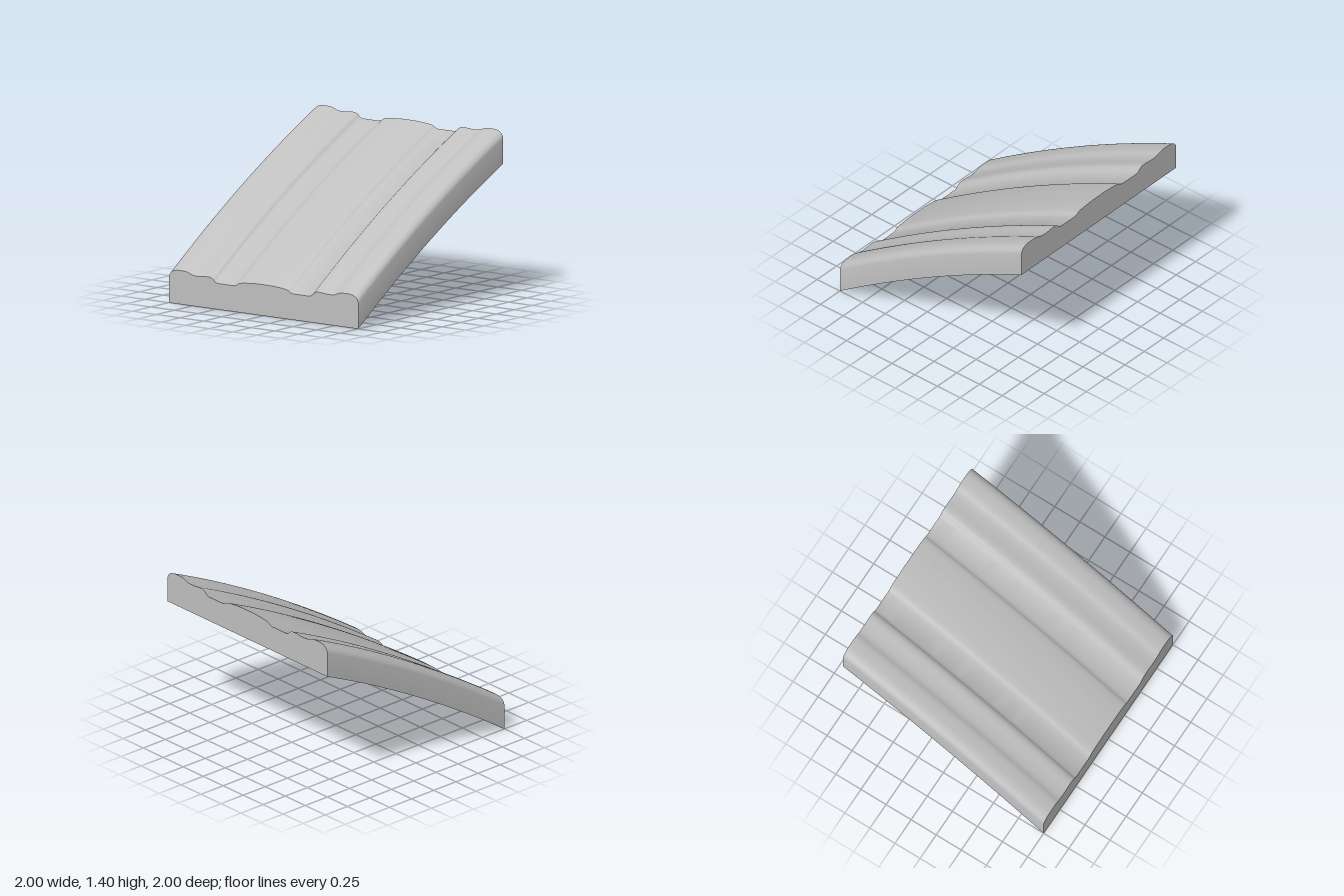
import * as THREE from 'three';
import { toCreasedNormals } from 'three/addons/utils/BufferGeometryUtils.js';

// Half of the moulded top profile: [distance from centre, height], edge to groove, then groove to centre
const OUTER = [[1, 0.22], [0.992, 0.243], [0.97, 0.267], [0.94, 0.281], [0.9, 0.287], [0.83, 0.286],
  [0.79, 0.278], [0.76, 0.266], [0.72, 0.259], [0.66, 0.26], [0.6, 0.266], [0.56, 0.264],
  [0.53, 0.25], [0.515, 0.235], [0.49, 0.221]];
const INNER = [[0.31, 0.221], [0.285, 0.229], [0.26, 0.244], [0.22, 0.253], [0.16, 0.259], [0.09, 0.264], [0, 0.265]];

const smooth = (pts, n) => new THREE.SplineCurve(pts.map(([u, h]) => new THREE.Vector2(u, h))).getPoints(n);

// Underside height along the rising, gently arched run
const rise = (x) => 0.615 + 0.5575 * x - 0.0575 * x * x;

export function createModel() {
  const group = new THREE.Group();
  group.name = 'curvedMoulding';
  const grey = new THREE.MeshStandardMaterial({ color: 0xbfbfbf });
  grey.name = 'plain grey';

  // Mirrored cross-section with a flat base
  const half = [...smooth(OUTER, 56), ...smooth(INNER, 30)];
  const other = half.slice(0, -1).reverse().map((p) => new THREE.Vector2(-p.x, p.y));
  const shape = new THREE.Shape([
    new THREE.Vector2(-1, 0), new THREE.Vector2(1, 0), ...half, ...other,
  ]);

  // Extrude along x, then lift each section to follow the arch
  const geo = new THREE.ExtrudeGeometry(shape, { depth: 2, steps: 32, bevelEnabled: false });
  geo.translate(0, 0, -1);
  geo.rotateY(Math.PI / 2);
  const pos = geo.attributes.position;
  for (let i = 0; i < pos.count; i++) pos.setY(i, pos.getY(i) + rise(pos.getX(i)));

  const moulding = new THREE.Mesh(toCreasedNormals(geo, 0.7), grey);
  moulding.name = 'mouldedRail';
  group.add(moulding);
  return group;
}
